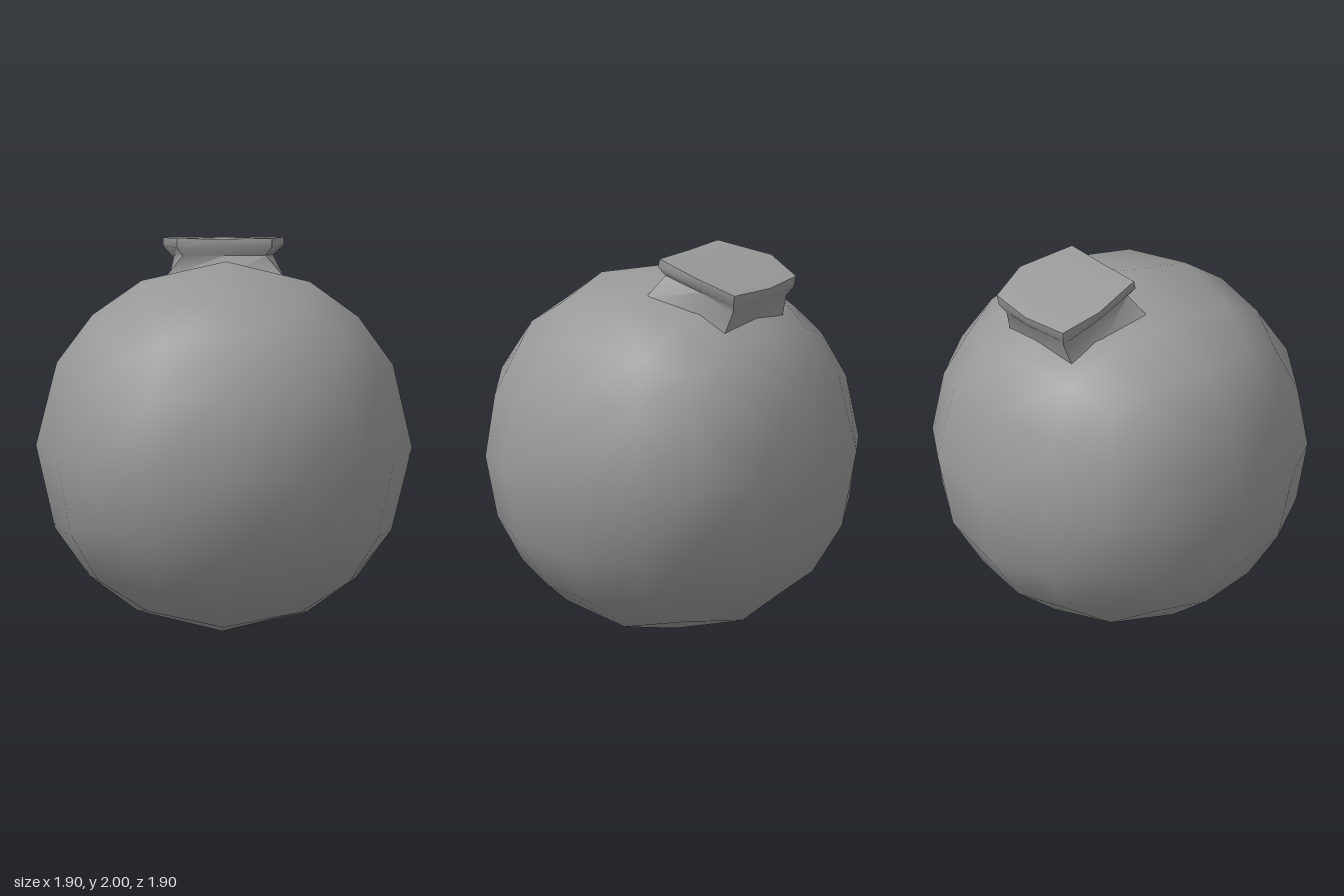
import * as THREE from 'three';
import { mergeVertices, toCreasedNormals } from 'three/addons/utils/BufferGeometryUtils.js';

const RADIUS = 0.952;

// Round body: a subdivided cube pushed out onto a sphere
function makeBody(material) {
  const box = new THREE.BoxGeometry(2, 2, 2, 4, 4, 4);
  box.deleteAttribute('normal');
  box.deleteAttribute('uv');
  const geometry = mergeVertices(box);
  const pos = geometry.attributes.position;
  const v = new THREE.Vector3();
  for (let i = 0; i < pos.count; i++) {
    v.fromBufferAttribute(pos, i).setLength(RADIUS);
    pos.setXYZ(i, v.x, v.y, v.z);
  }
  geometry.computeVertexNormals();
  const body = new THREE.Mesh(geometry, material);
  body.name = 'body';
  body.position.y = RADIUS;
  body.rotation.set(0.02, 0, -0.01);
  return body;
}

// One eight-point ring of the cap from its left half: front, side and back corners, mirrored in x
function ring(front, side, back, frontMid, backMid) {
  const flip = ([x, y, z]) => [-x, y, z];
  return [frontMid, front, side, back, backMid, flip(back), flip(side), flip(front)];
}

// Tilted cap with flared foot, narrow neck and thick lip
function makeCap(material) {
  const rings = [
    ring([0.303, 1.805, -0.07], [0.275, 1.765, -0.34], [0.24, 1.67, -0.525], [0, 1.81, -0.07], [0, 1.68, -0.54]),
    ring([0.21, 1.91, -0.125], [0.25, 1.87, -0.38], [0.22, 1.79, -0.565], [0, 1.91, -0.125], [0, 1.795, -0.58]),
    ring([0.24, 1.955, -0.1], [0.305, 1.915, -0.39], [0.25, 1.83, -0.59], [0, 1.955, -0.1], [0, 1.83, -0.615]),
    ring([0.24, 2.0, -0.11], [0.307, 1.957, -0.4], [0.255, 1.887, -0.6], [0, 1.997, -0.11], [0, 1.88, -0.63]),
  ];
  const n = 8;
  const points = rings.flat();
  const index = [];
  for (let r = 0; r < rings.length - 1; r++) {
    for (let i = 0; i < n; i++) {
      const a = r * n + i, b = r * n + (i + 1) % n;
      index.push(a, b, b + n, a, b + n, a + n);
    }
  }
  // Close the top and the underside with fans
  const last = (rings.length - 1) * n;
  const top = points.push([0, 1.957, -0.4]) - 1;
  const bottom = points.push([0, 1.77, -0.34]) - 1;
  for (let i = 0; i < n; i++) {
    const j = (i + 1) % n;
    index.push(top, last + i, last + j, bottom, j, i);
  }
  const geometry = new THREE.BufferGeometry();
  geometry.setAttribute('position', new THREE.Float32BufferAttribute(points.flat(), 3));
  geometry.setIndex(index);
  const cap = new THREE.Mesh(toCreasedNormals(geometry, 1.0), material);
  cap.name = 'cap';
  cap.position.x = 0.004;
  return cap;
}

export function createModel() {
  const material = new THREE.MeshStandardMaterial({ color: 0x999999 });
  const model = new THREE.Group();
  model.name = 'roundFlask';
  model.add(makeBody(material), makeCap(material));
  return model;
}
